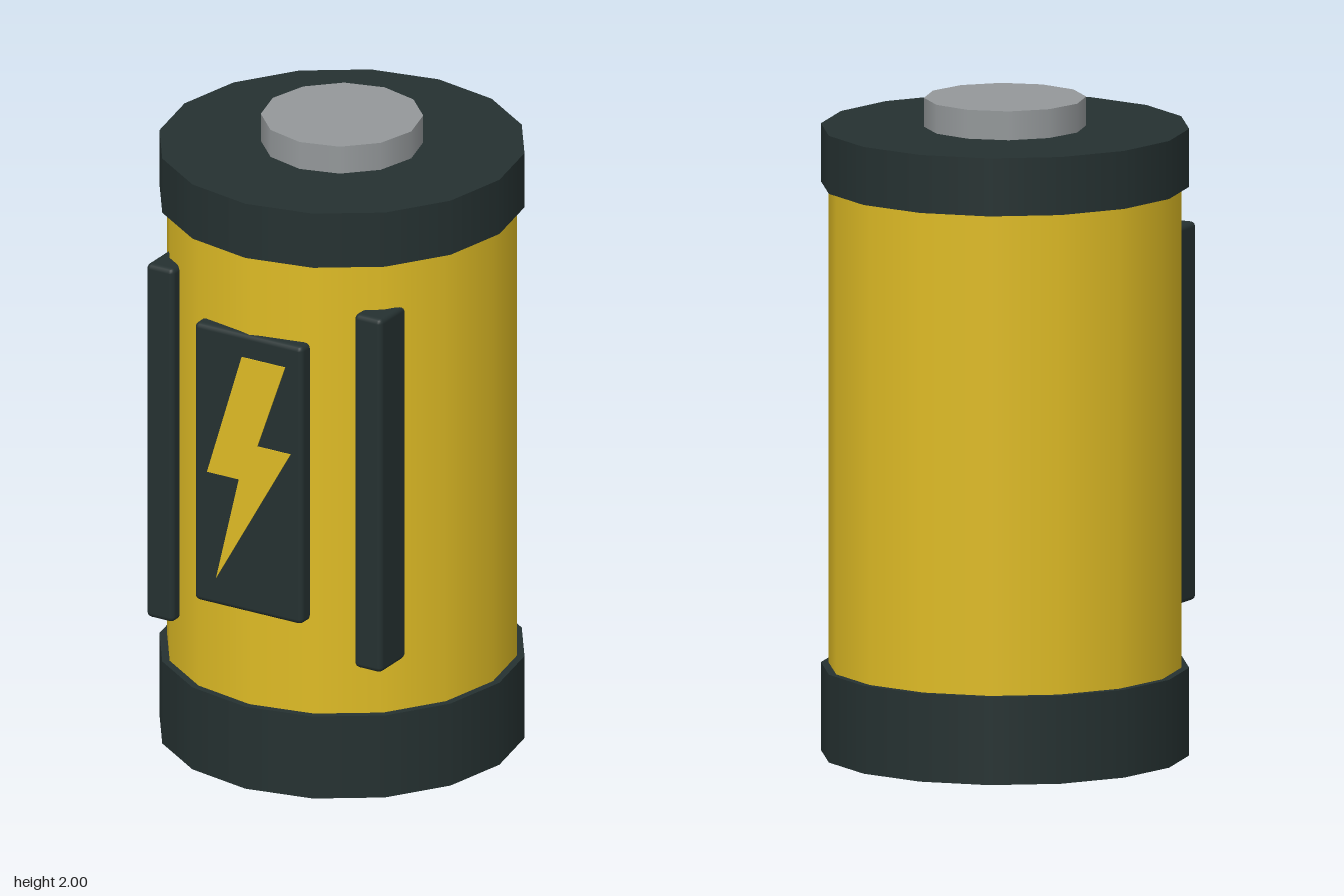
import * as THREE from 'three';
import { RoundedBoxGeometry } from 'three/addons/geometries/RoundedBoxGeometry.js';

export function createModel() {
  const group = new THREE.Group();
  const mat = (name, color) => {
    const m = new THREE.MeshStandardMaterial({ color });
    m.name = name;
    return m;
  };
  const yellow = mat('yellow', 0xdebb25);
  const dark = mat('darkCasing', 0x253131);
  const metal = mat('metal', 0x94989a);

  const add = (name, geometry, material, x = 0, y = 0, z = 0) => {
    const mesh = new THREE.Mesh(geometry, material);
    mesh.name = name;
    mesh.position.set(x, y, z);
    group.add(mesh);
    return mesh;
  };
  // Upright cylinder between two heights
  const drum = (name, radius, y0, y1, sides, material) =>
    add(name, new THREE.CylinderGeometry(radius, radius, y1 - y0, sides), material, 0, (y0 + y1) / 2);
  // Rounded block given by its lower and upper corners
  const block = (name, a, b, radius, material) =>
    add(name, new RoundedBoxGeometry(b[0] - a[0], b[1] - a[1], b[2] - a[2], 2, radius), material,
      (a[0] + b[0]) / 2, (a[1] + b[1]) / 2, (a[2] + b[2]) / 2);

  // Cell body, end caps and terminal
  drum('body', 0.532, 0.2, 1.8, 16, yellow);
  drum('bottomCap', 0.555, 0, 0.268, 16, dark);
  drum('topCap', 0.555, 1.735, 1.912, 16, dark);
  drum('terminal', 0.244, 1.88, 2, 12, metal);

  // Front panel and side rails
  block('frontPanel', [-0.19, 0.57, 0.46], [0.19, 1.477, 0.541], 0.016, dark);
  block('leftRail', [0.318, 0.43, 0.3], [0.415, 1.585, 0.452], 0.016, dark);
  block('rightRail', [-0.415, 0.43, 0.3], [-0.318, 1.585, 0.452], 0.016, dark);

  // Lightning bolt plate on the panel
  const bolt = new THREE.Shape([
    [-0.02, 1.402], [-0.142, 1.0], [-0.03, 1.0], [-0.11, 0.66],
    [0.152, 1.122], [0.035, 1.122], [0.133, 1.402],
  ].map(([x, y]) => new THREE.Vector2(x, y)));
  add('lightningBolt', new THREE.ExtrudeGeometry(bolt, { depth: 0.006, bevelEnabled: false }),
    yellow, 0, 0, 0.538);

  return group;
}
